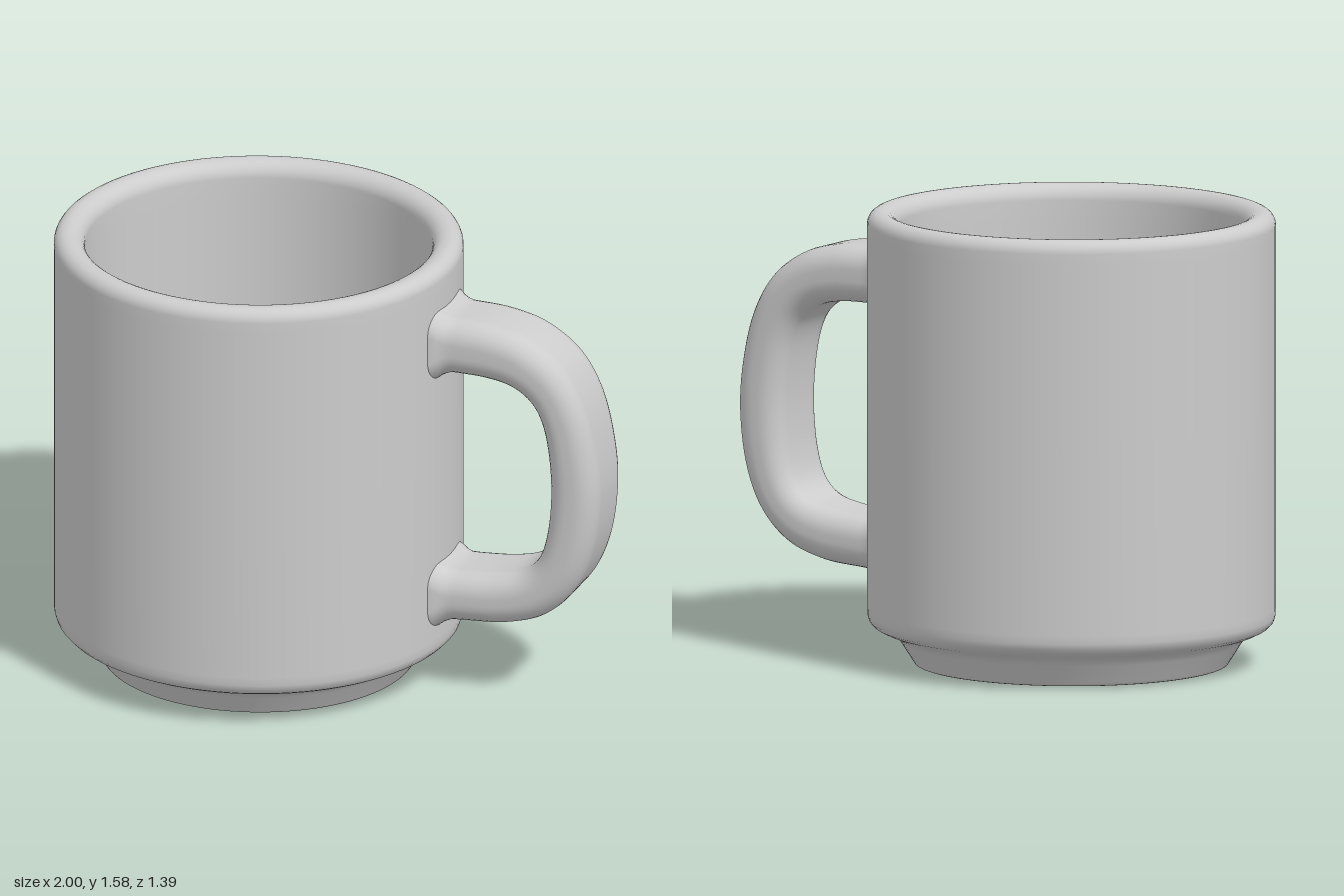
import * as THREE from 'three';

const v2 = (p) => new THREE.Vector2(p[0], p[1]);
const BODY_X = -0.2925;

// Points of a quarter-round between two angles (radians)
function arc(cx, cy, r, a0, a1, n = 6) {
  return Array.from({ length: n + 1 }, (_, i) => {
    const a = a0 + (a1 - a0) * i / n;
    return [cx + r * Math.cos(a), cy + r * Math.sin(a)];
  });
}

// Cup wall, foot ring and interior as one revolved profile
function bodyGeometry() {
  const H = Math.PI / 2;
  const profile = [
    [0, 0.11], [0.37, 0.11],                         // recess under the foot
    ...arc(0.37, 0.06, 0.05, H, 0.3, 4),
    [0.45, 0.008], [0.457, 0], [0.465, 0],           // foot ring
    [0.535, 0], [0.543, 0.003], [0.549, 0.012],
    [0.59, 0.077], [0.604, 0.095], [0.625, 0.108],
    [0.66, 0.121], [0.685, 0.134], [0.7, 0.15], [0.706, 0.17], [0.7075, 0.2],
    [0.7075, 0.9], [0.7075, 1.49],                   // outer wall
    ...arc(0.6625, 1.53, 0.045, 0, H),               // rim
    ...arc(0.655, 1.52, 0.055, H, Math.PI),
    [0.6, 1.45], [0.6, 0.9], [0.6, 0.27],            // inner wall
    ...arc(0.56, 0.24, 0.04, 0, -H),
    [0.54, 0.2], [0, 0.2],                           // inside floor
  ];
  return new THREE.LatheGeometry(profile.map(v2), 96);
}

// Handle: rounded-rectangle sections spanning an outer and an inner curve
function handleGeometry() {
  const outer = new THREE.SplineCurve([[0.36, 1.4], [0.48, 1.402], [0.61, 1.395], [0.74, 1.36],
    [0.86, 1.275], [0.94, 1.14], [0.985, 0.97], [1, 0.8], [0.975, 0.61], [0.91, 0.455],
    [0.8, 0.345], [0.66, 0.293], [0.5, 0.277], [0.36, 0.265]].map(v2));
  const inner = new THREE.SplineCurve([[0.36, 1.2], [0.48, 1.2], [0.59, 1.197], [0.68, 1.178],
    [0.75, 1.13], [0.79, 1.06], [0.812, 0.95], [0.82, 0.8], [0.807, 0.65], [0.775, 0.55],
    [0.715, 0.497], [0.62, 0.472], [0.5, 0.46], [0.36, 0.455]].map(v2));
  const steps = 90, corner = 7, halfDepth = 0.15;
  const pos = [], idx = [];
  const ring = 4 * (corner + 1);
  for (let i = 0; i <= steps; i++) {
    const o = outer.getPoint(i / steps), n = inner.getPoint(i / steps);
    const mid = o.clone().add(n).multiplyScalar(0.5);
    const dir = o.clone().sub(n);
    const half = dir.length() / 2;
    dir.normalize();
    // small flare where the handle meets the cup
    const flare = 0.03 * Math.pow(THREE.MathUtils.clamp((0.47 - mid.x) / 0.07, 0, 1), 2);
    const h = half + flare, d = halfDepth + flare * 0.6, r = Math.min(0.08, h * 0.85);
    for (let q = 0; q < 4; q++) {
      const su = q === 0 || q === 3 ? 1 : -1, sz = q < 2 ? 1 : -1;
      for (let k = 0; k <= corner; k++) {
        const a = (q + k / corner) * Math.PI / 2;
        const u = su * (h - r) + r * Math.cos(a);
        const z = sz * (d - r) + r * Math.sin(a);
        pos.push(mid.x + dir.x * u, mid.y + dir.y * u, z);
      }
    }
    if (i === steps) break;
    for (let j = 0; j < ring; j++) {
      const a = i * ring + j, b = i * ring + (j + 1) % ring;
      idx.push(a, b, a + ring, b, b + ring, a + ring);
    }
  }
  const g = new THREE.BufferGeometry();
  g.setAttribute('position', new THREE.Float32BufferAttribute(pos, 3));
  g.setIndex(idx);
  g.computeVertexNormals();
  return g;
}

export function createModel() {
  const glaze = new THREE.MeshStandardMaterial({ color: 0xcccccc });
  glaze.name = 'grey glaze';
  const model = new THREE.Group();
  model.name = 'mug';

  const body = new THREE.Mesh(bodyGeometry(), glaze);
  body.name = 'cup';
  body.position.x = BODY_X;
  body.scale.z = 0.985;

  const handle = new THREE.Mesh(handleGeometry(), glaze);
  handle.name = 'handle';

  model.add(body, handle);
  return model;
}
